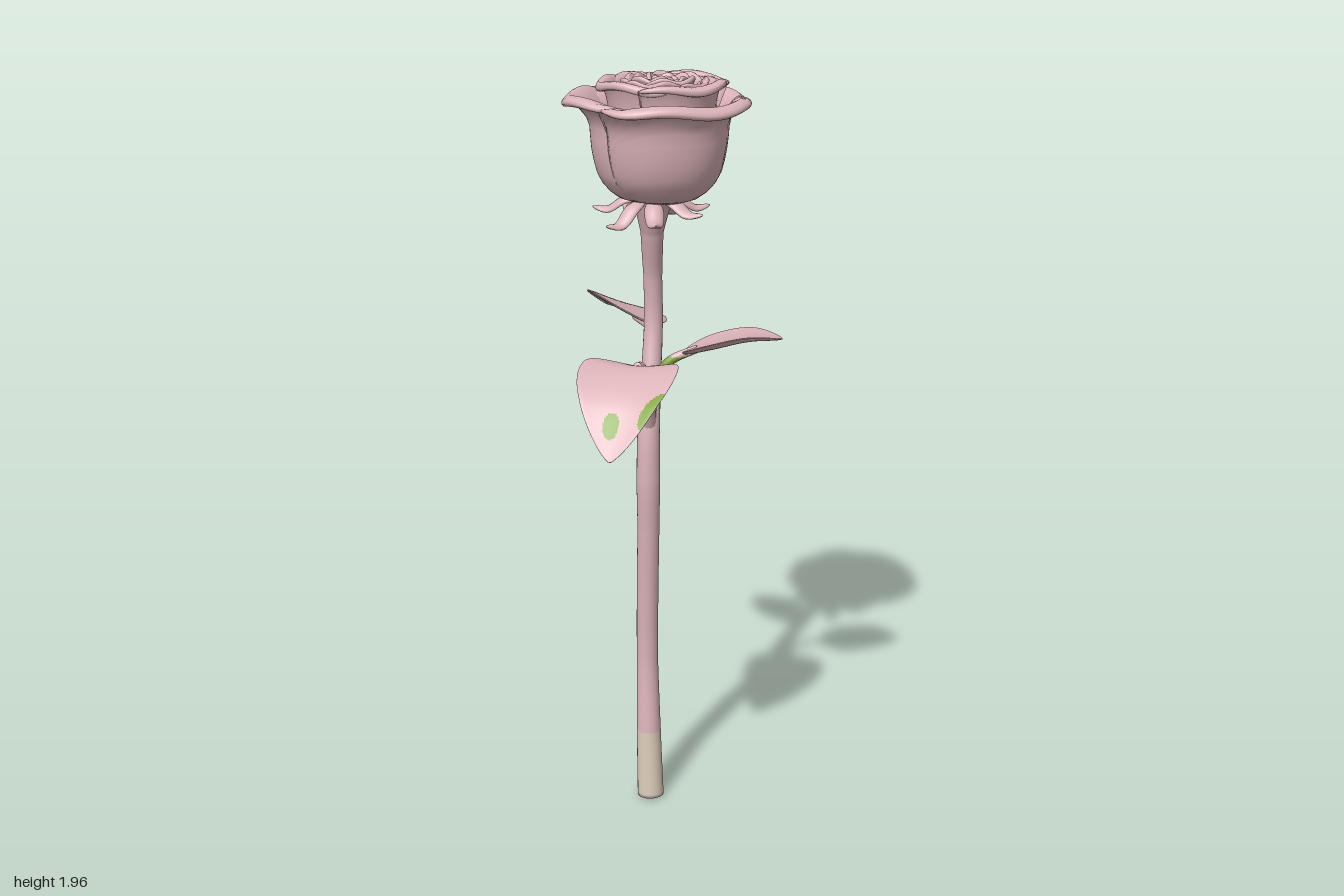
import * as THREE from 'three';

const V = (x, y, z) => new THREE.Vector3(x, y, z);
const mat = (name, color) => Object.assign(new THREE.MeshStandardMaterial({ color }), { name });

// Closed skin over a list of rings; pick(centre) chooses the material slot of a face
function loft(rings, pick = () => 0) {
  const n = rings[0].length, pts = rings.flat(), faces = [];
  const mid = (r) => r.reduce((s, p) => s.add(p), V(0, 0, 0)).divideScalar(n);
  const first = pts.length, last = first + 1, end = (rings.length - 1) * n;
  pts.push(mid(rings[0]), mid(rings[rings.length - 1]));
  for (let j = 0; j < n; j++) {
    const k = (j + 1) % n;
    for (let i = 0; i < end; i += n) {
      faces.push([i + j, i + k, i + n + j], [i + k, i + n + k, i + n + j]);
    }
    faces.push([first, k, j], [last, end + j, end + k]);
  }
  // turn all faces outward
  let volume = 0;
  for (const [a, b, c] of faces) volume += pts[a].dot(pts[b].clone().cross(pts[c]));
  if (volume < 0) faces.forEach((f) => f.reverse());
  const slots = [[], [], []];
  for (const f of faces) {
    const c = V(0, 0, 0);
    f.forEach((v) => c.add(pts[v]));
    slots[pick(c.divideScalar(3))].push(...f);
  }
  const g = new THREE.BufferGeometry().setFromPoints(pts);
  g.setIndex(slots.flat());
  let start = 0;
  slots.forEach((s, m) => {
    if (s.length) g.addGroup(start, s.length, m);
    start += s.length;
  });
  g.computeVertexNormals();
  return g;
}

// Round tube with a varying radius
function tube(points, radii, steps, pick) {
  const curve = new THREE.CatmullRomCurve3(points), rings = [];
  for (let i = 0; i <= steps; i++) {
    const u = i / steps, c = curve.getPoint(u), t = curve.getTangent(u);
    const a = V(0.6, -0.5, 0.6).cross(t).normalize(), b = t.clone().cross(a);
    const f = u * (radii.length - 1), k = Math.min(Math.floor(f), radii.length - 2);
    const r = THREE.MathUtils.lerp(radii[k], radii[k + 1], f - k);
    rings.push(Array.from({ length: 20 }, (_, j) => {
      const w = (j / 20) * Math.PI * 2;
      return c.clone().addScaledVector(a, r * Math.cos(w)).addScaledVector(b, r * Math.sin(w));
    }));
  }
  return loft(rings, pick);
}

// Thin ovate blade along a curve; lift raises its two edges
function blade(points, side, half, lift, thick, pick, steps = 44, around = 48) {
  const curve = new THREE.CatmullRomCurve3(points), rings = [];
  side.normalize();
  for (let i = 0; i <= steps; i++) {
    const u = 0.004 + 0.992 * (i / steps), c = curve.getPoint(u);
    const up = side.clone().cross(curve.getTangent(u)).normalize();
    if (up.y < 0) up.negate();
    const w = Math.pow(Math.sin(Math.PI * Math.pow(u, 0.8)), 0.75);
    rings.push(Array.from({ length: around }, (_, j) => {
      const a = (j / around) * Math.PI * 2, x = Math.cos(a);
      return c.clone().addScaledVector(side, half * w * x)
        .addScaledVector(up, thick * Math.sqrt(w) * Math.sin(a) + lift * w * x * x);
    }));
  }
  return loft(rings, pick);
}

// Curved petal: an upright profile of [radius, height] swept through part of a turn
function petal({ x, z, angle, span, profile, thick, spiral = 0, cut = 0.25, wave = 0.006, rise = 0 }) {
  const curve = new THREE.SplineCurve(profile.map((p) => new THREE.Vector2(...p)));
  const rings = [], N = 36, M = 16;
  for (let i = 0; i <= N; i++) {
    const t = (i / N) * 2 - 1, k = 1 - cut * Math.pow(Math.abs(t), 4);
    const a = THREE.MathUtils.degToRad(angle + (t * span) / 2);
    const h = (thick / 2) * (0.25 + 0.75 * Math.sqrt(1 - t * t)), ring = [];
    const add = (s, phi) => {
      const p = curve.getPoint(s), d = curve.getTangent(s);
      const r = p.x + h * (d.y * Math.cos(phi) + d.x * Math.sin(phi))
        + s * (spiral * t + wave * Math.sin(t * 5 + angle));
      const y = p.y + h * (-d.x * Math.cos(phi) + d.y * Math.sin(phi))
        + s * s * (rise * (1 - t * t) + wave * Math.cos(t * 7 + angle));
      ring.push(V(x + r * Math.cos(a), y, z + r * Math.sin(a)));
    };
    for (let j = 0; j <= M; j++) add((k * j) / M, 0);
    for (const q of [0.25, 0.5, 0.75]) add(k, q * Math.PI);
    for (let j = M; j >= 0; j--) add((k * j) / M, Math.PI);
    rings.push(ring);
  }
  return loft(rings);
}

export function createModel() {
  const root = new THREE.Group();
  root.name = 'rose';
  const pink = mat('dustyPink', 0xdbb3b8), tan = mat('cutStemTan', 0xd8c9b7), green = mat('leafGreen', 0x80a436);
  const mats = [pink, tan, green];
  const add = (name, geometry, parent = root) => {
    const m = new THREE.Mesh(geometry, mats);
    m.name = name;
    parent.add(m);
  };
  const group = (name) => {
    const g = new THREE.Group();
    g.name = name;
    root.add(g);
    return g;
  };

  // Stem with a tan cut end and one green fleck
  const fleck = V(-0.05, 1.23, -0.13);
  add('stem', tube(
    [V(-0.06, 0.008, -0.05), V(-0.069, 0.2, -0.066), V(-0.076, 0.4, -0.081), V(-0.074, 0.6, -0.077), V(-0.068, 0.8, -0.066),
      V(-0.066, 0.93, -0.06), V(-0.067, 1.08, -0.07), V(-0.07, 1.2, -0.105), V(-0.072, 1.34, -0.138), V(-0.072, 1.46, -0.133),
      V(-0.066, 1.58, -0.105), V(-0.06, 1.67, -0.09)],
    [0.036, 0.033, 0.029, 0.029, 0.029, 0.031, 0.029, 0.026, 0.024, 0.024, 0.029, 0.05], 220,
    (c) => (c.y < 0.205 ? 1 : c.distanceTo(fleck) < 0.02 ? 2 : 0)));

  // Leaf stalks
  add('frontStalk', tube([V(-0.065, 1.07, -0.068), V(-0.062, 1.14, -0.04), V(-0.057, 1.21, 0.0), V(-0.055, 1.27, 0.04), V(-0.055, 1.285, 0.08)],
    [0.02, 0.02, 0.014, 0.012, 0.01], 40, (c) => (c.y > 1.175 && c.y < 1.2 ? 2 : 0)));
  add('leftStalk', tube([V(-0.06, 1.13, -0.05), V(-0.045, 1.2, -0.05), V(-0.01, 1.26, -0.058), V(0.06, 1.295, -0.075)],
    [0.018, 0.013, 0.012, 0.01], 40, (c) => (c.y > 1.2 && c.y < 1.275 ? 2 : 0)));
  add('backStalk', tube([V(-0.07, 1.29, -0.13), V(-0.085, 1.325, -0.14), V(-0.13, 1.34, -0.175)], [0.016, 0.012, 0.01], 20));

  // Leaves; the front one has two green patches
  const patches = (c) => {
    const spot = Math.hypot(c.x + 0.065, c.z - 0.28) < 0.02;
    const edge = Math.hypot((c.x - 0.034 + (c.z - 0.258)) * 0.75, (c.x - 0.034 - (c.z - 0.258)) * 0.42) < 0.025;
    return spot || edge ? 2 : 0;
  };
  add('frontLeaf', blade([V(-0.055, 1.275, 0.055), V(-0.055, 1.285, 0.13), V(-0.055, 1.235, 0.235), V(-0.055, 1.12, 0.328)],
    V(1, 0, 0), 0.121, 0.022, 0.008, patches, 72, 100));
  add('leftLeaf', blade([V(0.02, 1.28, -0.075), V(0.1, 1.305, -0.08), V(0.19, 1.325, -0.1), V(0.268, 1.322, -0.122)],
    V(0.1, 0.1, 1), 0.1, 0.015, 0.008));
  add('backLeaf', blade([V(-0.085, 1.335, -0.14), V(-0.15, 1.35, -0.2), V(-0.215, 1.345, -0.275), V(-0.25, 1.325, -0.33)],
    V(-0.15, 0.09, 0.15), 0.112, 0.01, 0.008));

  // Sepals curling out under the flower
  const sepals = group('sepals');
  for (let i = 0; i < 7; i++) {
    const a = (i / 7) * Math.PI * 2 + 0.35, c = Math.cos(a), s = Math.sin(a), d = (i % 3) * 0.012;
    const at = (r, y) => V(-0.06 + r * c, y, -0.085 + r * s);
    add('sepal', blade([at(0.02, 1.67), at(0.07, 1.662 - d / 2), at(0.11, 1.638 - d), at(0.15, 1.642 - d)],
      V(-s, 0, c), 0.024, -0.006, 0.009, undefined, 16, 14), sepals);
  }

  // Outer petals: deep cup with a rolled rim
  const outer = group('outerPetals');
  const cup = (e) => [[0.02, 1.668], [0.09, 1.676], [0.138, 1.72], [0.157, 1.79], [0.165, 1.86], [0.195 + e, 1.905], [0.215 + e, 1.895]];
  [[48, 150, 0.008, 0], [160, 132, 0.012, 0.012], [254, 128, 0.006, 0.02], [322, 108, -0.004, 0]].forEach(([angle, span, e, rise]) =>
    add('outerPetal', petal({ x: -0.045, z: -0.1, angle, span, profile: cup(e), thick: 0.018, spiral: 0.006, rise }), outer));

  // Middle petals
  const middle = group('middlePetals');
  const bowl = [[0.03, 1.71], [0.1, 1.73], [0.123, 1.8], [0.122, 1.88], [0.133, 1.932], [0.146, 1.943], [0.152, 1.936]];
  [20, 140, 262].forEach((angle) => add('middlePetal',
    petal({ x: -0.035, z: -0.097, angle, span: 155, profile: bowl, thick: 0.018, spiral: 0.01, cut: 0.15, rise: 0.008 }), middle));

  // Inner petals, wrapped in a tightening spiral
  const inner = group('innerPetals');
  [[0.1, 1.945, 4, 0], [0.073, 1.95, 3, 40], [0.047, 1.95, 3, 95], [0.022, 1.945, 2, 10]].forEach(([r, y, count, turn]) => {
    for (let i = 0; i < count; i++) {
      add('innerPetal', petal({
        x: -0.032, z: -0.105, angle: turn + (i * 360) / count, span: 450 / count, thick: 0.014, spiral: 0.009, cut: 0.12, wave: 0.005, rise: 0.005,
        profile: [[r * 0.8, 1.8], [r * 0.95, 1.86], [r * 0.9, y - 0.03], [r * 0.96, y - 0.006], [r + 0.002, y]],
      }), inner);
    }
  });

  // Solid heart that closes the bud
  const heart = new THREE.Mesh(new THREE.LatheGeometry(
    [[0.02, 1.72], [0.085, 1.8], [0.09, 1.88], [0.075, 1.912], [0.04, 1.928], [0, 1.935]].map((p) => new THREE.Vector2(...p)), 32), pink);
  heart.name = 'budHeart';
  heart.position.set(-0.032, 0, -0.105);
  root.add(heart);
  return root;
}
